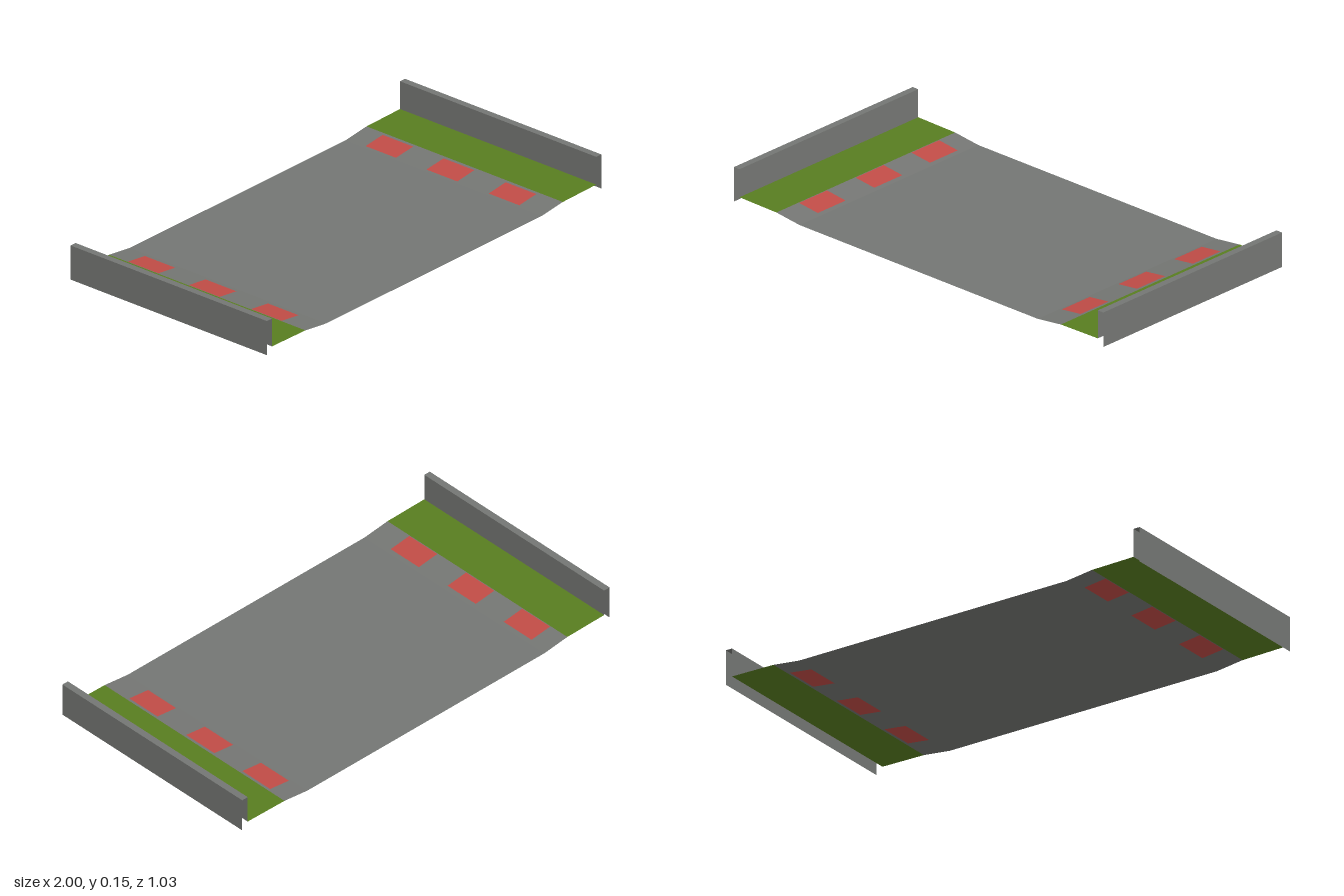
import * as THREE from 'three';
import { mergeGeometries } from 'three/addons/utils/BufferGeometryUtils.js';

const HALF = 0.516; // half length along z

// Open ribbon: a polyline of [x, y] swept from z0 to z1, one flat quad per segment
function ribbon(points, z0 = -HALF, z1 = HALF) {
  const pos = [];
  for (let i = 0; i + 1 < points.length; i++) {
    const [ax, ay] = points[i], [bx, by] = points[i + 1];
    pos.push(ax, ay, z1, bx, by, z1, bx, by, z0);
    pos.push(ax, ay, z1, bx, by, z0, ax, ay, z0);
  }
  const g = new THREE.BufferGeometry();
  g.setAttribute('position', new THREE.Float32BufferAttribute(pos, 3));
  g.computeVertexNormals();
  return g;
}

// Surface height: flat road, sloping shoulder, nearly level verge
function height(x) {
  const a = Math.abs(x);
  if (a <= 0.645) return 0.01;
  if (a <= 0.77) return 0.01 + 0.015 * (a - 0.645) / 0.125;
  return 0.025 + 0.003 * (a - 0.77) / 0.2;
}
const surface = (...xs) => xs.map((x) => [x, height(x)]);

export function createModel() {
  const model = new THREE.Group();
  const material = (name, color) => {
    const m = new THREE.MeshStandardMaterial({ color, side: THREE.DoubleSide });
    m.name = name;
    return m;
  };
  const grey = material('asphaltGrey', 0x747673);
  const green = material('grassGreen', 0x587d20);
  const red = material('kerbRed', 0xc04c46);
  const add = (name, geometries, mat) => {
    const mesh = new THREE.Mesh(mergeGeometries(geometries), mat);
    mesh.name = name;
    model.add(mesh);
  };

  // Open-ended barriers: outer face, top and inner face
  add('rightBarrier', [ribbon([[-1, 0], [-1, 0.15], [-0.97, 0.15], [-0.97, height(0.97)]])], grey);
  add('leftBarrier', [ribbon([[0.97, height(0.97)], [0.97, 0.15], [1, 0.15], [1, 0]])], grey);

  // Grass verges
  add('rightVerge', [ribbon(surface(-0.97, -0.77))], green);
  add('leftVerge', [ribbon(surface(0.77, 0.97))], green);

  // Road with shoulders, leaving a column free for the kerb blocks on each side
  add('road', [
    ribbon(surface(-0.77, -0.767)),
    ribbon(surface(-0.666, -0.645, 0.645, 0.655)),
    ribbon(surface(0.757, 0.77)),
  ], grey);

  // Kerb columns: red blocks alternating with grey gaps
  const cuts = [-HALF, -0.42, -0.26, -0.1, 0.062, 0.227, 0.388, HALF];
  for (const [side, x0, x1] of [['right', -0.767, -0.666], ['left', 0.655, 0.757]]) {
    const blocks = [], gaps = [];
    for (let i = 0; i + 1 < cuts.length; i++) {
      (i % 2 ? blocks : gaps).push(ribbon(surface(x0, x1), cuts[i], cuts[i + 1]));
    }
    add(side + 'KerbBlocks', blocks, red);
    add(side + 'KerbGaps', gaps, grey);
  }
  return model;
}
